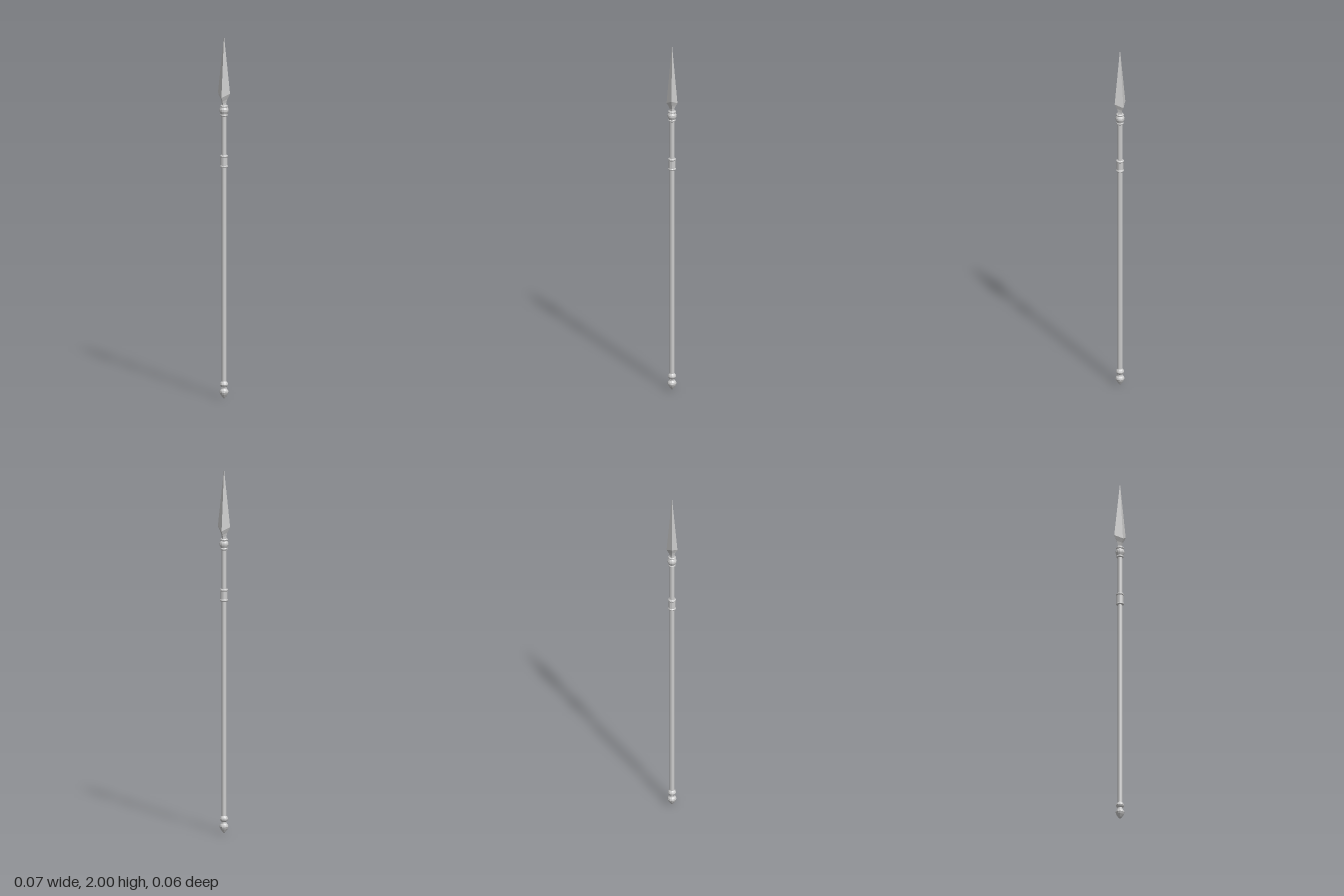
import * as THREE from 'three';

const material = new THREE.MeshStandardMaterial({ color: 0xcccccc, flatShading: true });
const SIDES = 12;

export function createModel() {
  const group = new THREE.Group();

  const add = (name, geometry) => {
    const mesh = new THREE.Mesh(geometry, material);
    mesh.name = name;
    group.add(mesh);
  };
  // Turned part from [radius, height] pairs, listed bottom to top
  const turn = (name, profile) =>
    add(name, new THREE.LatheGeometry(profile.map(([r, y]) => new THREE.Vector2(r, y)), SIDES));
  // Rounded ring around the shaft
  const ring = (name, y, r, h) =>
    turn(name, [[0.012, y - h], [r - 0.003, y - h], [r, y - h * 0.4], [r, y + h * 0.4], [r - 0.003, y + h], [0.012, y + h]]);

  // Shaft
  turn('shaft', [[0.0135, 0.06], [0.0135, 1.62]]);

  // Pointed butt cap with a bead above it
  turn('buttCap', [[0, 0], [0.01, 0.009], [0.02, 0.025], [0.0245, 0.037], [0.0225, 0.046],
    [0.015, 0.055], [0.0145, 0.065], [0.02, 0.071], [0.023, 0.079], [0.02, 0.088], [0.0135, 0.096]]);

  // Grip band between two rings
  turn('gripBand', [[0.013, 1.276], [0.0185, 1.276], [0.0185, 1.336], [0.013, 1.336]]);
  for (const y of [1.279, 1.335]) ring('gripRing', y, 0.0215, 0.006);

  // Collar under the head
  ring('collarLowerRing', 1.561, 0.02, 0.006);
  turn('collarBulge', [[0.0165, 1.565], [0.02, 1.572], [0.0245, 1.583], [0.0245, 1.593], [0.02, 1.602], [0.0155, 1.607]]);
  ring('collarUpperRing', 1.611, 0.0215, 0.006);

  // Four-sided head: [half width, its height, half depth, its height] per section
  const sections = [
    [0.013, 1.61, 0.013, 1.61],
    [0.014, 1.63, 0.013, 1.625],
    [0.02, 1.65, 0.018, 1.64],
    [0.037, 1.682, 0.0295, 1.66],
    [0, 2, 0, 2],
  ];
  const positions = [];
  const index = [];
  sections.forEach(([w, wy, d, dy], i) => {
    positions.push(w, wy, 0, 0, dy, d, -w, wy, 0, 0, dy, -d);
    if (i === sections.length - 1) return;
    for (let k = 0; k < 4; k++) {
      const a = i * 4 + k;
      const b = i * 4 + (k + 1) % 4;
      index.push(a, a + 4, b);
      if (i < sections.length - 2) index.push(b, a + 4, b + 4);
    }
  });
  const head = new THREE.BufferGeometry();
  head.setAttribute('position', new THREE.Float32BufferAttribute(positions, 3));
  head.setIndex(index);
  // Corner order runs +x, +z, -x, -z, so flip the winding if it faces inward
  const p = (n) => new THREE.Vector3().fromArray(positions, n * 3);
  const normal = new THREE.Triangle(p(index[0]), p(index[1]), p(index[2])).getNormal(new THREE.Vector3());
  if (normal.x + normal.z < 0) head.setIndex(index.reverse());
  const flatHead = head.toNonIndexed();
  flatHead.computeVertexNormals();
  add('spearHead', flatHead);

  return group;
}
